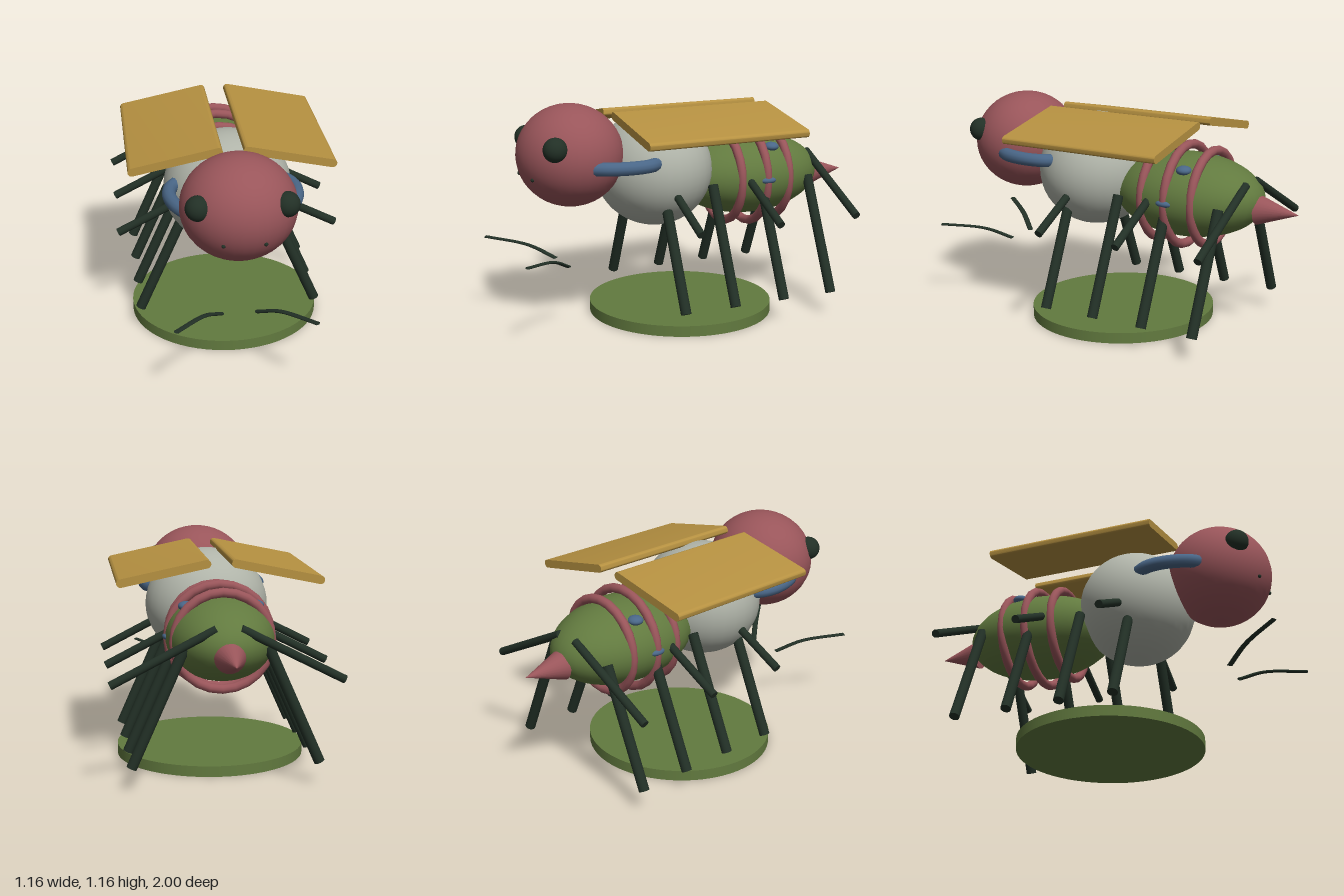
import * as THREE from 'three';
import { toCreasedNormals } from 'three/addons/utils/BufferGeometryUtils.js';

const material = (name, color) => {
  const m = new THREE.MeshStandardMaterial({ color });
  m.name = name;
  return m;
};
const V = (x, y, z) => new THREE.Vector3(x, y, z);

export function createModel() {
  const model = new THREE.Group();
  model.name = 'insect';
  const red = material('dusty red', 0x99555a);
  const grey = material('pale grey', 0xb0b4a9);
  const green = material('moss green', 0x627a3f);
  const dark = material('dark green', 0x223026);
  const blue = material('slate blue', 0x4a6788);
  const gold = material('gold', 0xb69141);

  const add = (name, geometry, mat, x = 0, y = 0, z = 0) => {
    const mesh = new THREE.Mesh(geometry, mat);
    mesh.name = name;
    mesh.position.set(x, y, z);
    model.add(mesh);
    return mesh;
  };
  const ellipsoid = (name, mat, x, y, z, rx, ry = rx, rz = rx) => {
    const mesh = add(name, new THREE.SphereGeometry(1, 32, 24), mat, x, y, z);
    mesh.scale.set(rx, ry, rz);
    return mesh;
  };
  // Straight cylinder between two points
  const rod = (name, mat, a, b, r) => {
    const dir = b.clone().sub(a);
    const mesh = add(name, new THREE.CylinderGeometry(r, r, dir.length(), 16), mat);
    mesh.position.copy(a).add(b).multiplyScalar(0.5);
    mesh.quaternion.setFromUnitVectors(V(0, 1, 0), dir.normalize());
    return mesh;
  };

  // Round base
  add('base', new THREE.CylinderGeometry(0.5, 0.5, 0.056, 64), green, 0, 0.028, 0.013).scale.z = 0.972;

  // Body
  ellipsoid('head', red, 0, 0.897, 0.635, 0.287, 0.262, 0.273);
  ellipsoid('thorax', grey, 0, 0.79, 0.17, 0.331, 0.3, 0.306);
  ellipsoid('abdomen', green, 0, 0.717, -0.385, 0.275, 0.217, 0.415);
  for (const [z, r] of [[-0.235, 0.243], [-0.378, 0.261], [-0.52, 0.243]]) {
    add('abdomenRing', new THREE.TorusGeometry(r, 0.024, 12, 24), red, 0, 0.713, z);
  }
  const sting = add('sting', new THREE.ConeGeometry(0.077, 0.22, 24), red, 0, 0.683, -0.888);
  sting.rotation.x = -Math.PI / 2;

  // Wing profile: a flat bar with rounded long edges
  const half = 0.217, t = 0.021;
  const profile = new THREE.Shape();
  profile.moveTo(-half, -t);
  profile.lineTo(half, -t);
  profile.absarc(half, 0, t, -Math.PI / 2, Math.PI / 2, false);
  profile.lineTo(-half, t);
  profile.absarc(-half, 0, t, Math.PI / 2, Math.PI * 1.5, false);
  const wingGeometry = toCreasedNormals(
    new THREE.ExtrudeGeometry(profile, { depth: 0.892, bevelEnabled: false, curveSegments: 10 }), 0.7);

  for (const s of [1, -1]) {
    const side = s > 0 ? 'left' : 'right';

    // Face
    ellipsoid(side + 'Eye', dark, s * 0.21, 0.968, 0.79, 0.062);
    ellipsoid(side + 'Nostril', dark, s * 0.1, 0.806, 0.872, 0.01);

    // Wing, sloping down outwards
    add(side + 'Wing', wingGeometry, gold, s * 0.285, 1.045, -0.469).rotation.z = -s * 0.205;

    // Curved arm joining head and thorax
    const arm = new THREE.CatmullRomCurve3([
      V(s * 0.22, 0.865, 0.65), V(s * 0.288, 0.865, 0.55), V(s * 0.317, 0.865, 0.43),
      V(s * 0.305, 0.865, 0.33), V(s * 0.26, 0.865, 0.26)]);
    add(side + 'Arm', new THREE.TubeGeometry(arm, 24, 0.035, 12), blue);

    // Flattened antenna
    const flat = 0.4;
    const feeler = new THREE.CatmullRomCurve3([
      V(s * 0.09, 0.337, 0.69), V(s * 0.19, 0.4, 0.81), V(s * 0.335, 0.431, 0.99)]
      .map((p) => V(p.x, p.y / flat, p.z)));
    const antenna = add(side + 'Antenna', new THREE.TubeGeometry(feeler, 20, 0.015, 10), dark);
    antenna.scale.y = flat;
    antenna.material.side = THREE.DoubleSide;

    // Long standing legs
    for (const z of [0.205, -0.08, -0.367, -0.655]) {
      rod(side + 'LongLeg', dark, V(s * 0.205, 0.71, z), V(s * 0.466, 0.12, z), 0.027);
    }
    // Short side legs
    for (const z of [0.173, -0.28, -0.735]) {
      rod(side + 'ShortLeg', dark, V(s * 0.06, 0.815, z), V(s * 0.569, 0.554, z), 0.021);
    }

    // Spots on the abdomen
    ellipsoid(side + 'UpperSpot', blue, s * 0.175, 0.88, -0.445, 0.04, 0.024, 0.04);
    ellipsoid(side + 'SideSpot', blue, s * 0.258, 0.718, -0.38, 0.03, 0.02, 0.048);
  }
  return model;
}
